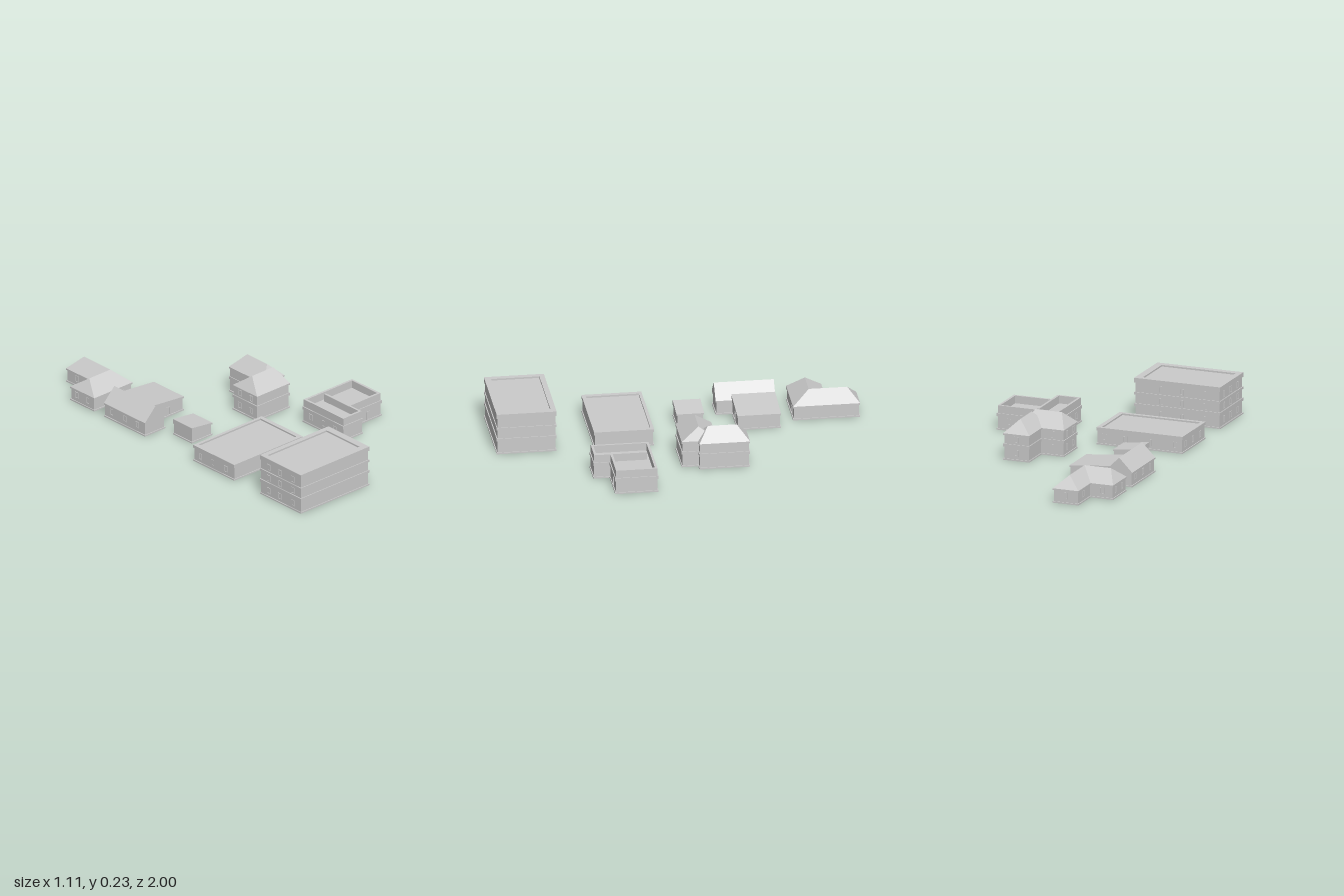
import * as THREE from 'three';
import { ConvexGeometry } from 'three/addons/geometries/ConvexGeometry.js';

const mat = new THREE.MeshStandardMaterial({ color: 0xcccccc, flatShading: true });
const OUT = 0.005; // how far bands stand out from the walls

function add(group, name, geo) {
  const m = new THREE.Mesh(geo, mat);
  m.name = name;
  group.add(m);
  return m;
}

// Plans are [x, z] corners, counter-clockwise seen from above
const rect = (x0, x1, z0, z1) => [[x0, z1], [x1, z1], [x1, z0], [x0, z0]];

// Moves every edge of a right-angled plan inwards by d
function inset(plan, d) {
  const n = plan.length;
  return plan.map(([x, z], i) => {
    const p = plan[(i + n - 1) % n], q = plan[(i + 1) % n];
    const dx = Math.sign(x - p[0]) + Math.sign(q[0] - x);
    const dz = Math.sign(z - p[1]) + Math.sign(q[1] - z);
    return [x + d * dz, z - d * dx];
  });
}

// Vertical prism over a plan, optionally hollow
function slab(group, name, plan, y0, y1, hole) {
  const pts = p => p.map(([x, z]) => new THREE.Vector2(x, -z));
  const shape = new THREE.Shape(pts(plan));
  if (hole) shape.holes.push(new THREE.Path(pts(hole)));
  const geo = new THREE.ExtrudeGeometry(shape, { depth: y1 - y0, bevelEnabled: false });
  geo.rotateX(-Math.PI / 2).translate(0, y0, 0);
  return add(group, name, geo);
}

const solid = (group, name, pts) =>
  add(group, name, new ConvexGeometry(pts.map(p => new THREE.Vector3(...p))));

// Hipped or gabled roof: eaves rectangle plus two ridge ends [x, z]
function ridgeRoof(group, [x0, x1, z0, z1], y0, y1, a, b) {
  solid(group, 'pitchedRoof', [[x0, y0, z0], [x1, y0, z0], [x1, y0, z1], [x0, y0, z1],
    [a[0], y1, a[1]], [b[0], y1, b[1]]]);
}

// Single-slope roof, high on -x and low on +x
function leanRoof(group, [x0, x1, z0, z1], y0, yLow, yHigh) {
  const pts = [];
  for (const z of [z0, z1]) pts.push([x0, y0, z], [x1, y0, z], [x0, yHigh, z], [x1, yLow, z]);
  solid(group, 'slopingRoof', pts);
}

// Walls with projecting bands
function walls(group, plan, top, bands) {
  slab(group, 'walls', inset(plan, OUT), 0, top);
  for (const [y0, y1] of bands) slab(group, 'band', plan, y0, y1);
}

// Window or door frame; side is the direction the wall faces
const turns = { front: 0, right: Math.PI / 2, back: Math.PI, left: -Math.PI / 2 };
function opening(group, name, side, x, y, z, w = 0.024, h = 0.036) {
  const box = (a, b, c, d) => [[a, b], [c, b], [c, d], [a, d]].map(p => new THREE.Vector2(...p));
  const t = 0.004;
  const shape = new THREE.Shape(box(-w / 2, 0, w / 2, h));
  shape.holes.push(new THREE.Path(box(-w / 2 + t, t, w / 2 - t, h - t)));
  const geo = new THREE.ExtrudeGeometry(shape, { depth: 0.003, bevelEnabled: false });
  const m = add(group, name, geo);
  m.position.set(x, y, z);
  m.rotation.y = turns[side];
}

function building(root, name) {
  const g = new THREE.Group();
  g.name = name;
  root.add(g);
  return g;
}

// Flat-roofed block with a low parapet and windows on its back and left-hand sides
function flatBlock(root, name, r, inner, height, parapet, bands, rows, backX, sideZ) {
  const g = building(root, name);
  const plan = rect(...r);
  walls(g, plan, parapet, bands);
  slab(g, 'parapet', plan, parapet, height, rect(...inner));
  slab(g, 'roofDeck', rect(...inner), parapet - 0.002, height - 0.009);
  for (const y of rows) {
    for (const x of backX) opening(g, 'window', 'back', x, y, r[2] + OUT);
    for (const z of sideZ) opening(g, 'window', 'left', r[0] + OUT, y, z);
  }
}

export function createModel() {
  const root = new THREE.Group();
  root.name = 'buildingGroup';

  // Three-storey block
  flatBlock(root, 'tallBlock', [-0.555, -0.055, 0.675, 1], [-0.525, -0.095, 0.704, 0.965],
    0.232, 0.207, [[0, 0.008], [0.075, 0.09], [0.14, 0.153]],
    [0.022, 0.097, 0.162], [-0.21, -0.33, -0.467], [0.74, 0.83, 0.93]);

  // Single-storey block
  flatBlock(root, 'lowBlock', [-0.555, -0.055, 0.147, 0.472], [-0.53, -0.08, 0.164, 0.45],
    0.095, 0.078, [[0, 0.008]],
    [0.025], [-0.1, -0.22, -0.36, -0.51], [0.2, 0.3, 0.4]);

  // L-shaped house with a walled roof terrace
  const terrace = building(root, 'terraceHouse');
  const tPlan = [[0.187, 0.53], [0.332, 0.53], [0.332, 0.442], [0.55, 0.442], [0.55, 0.207], [0.187, 0.207]];
  walls(terrace, tPlan, 0.085, [[0, 0.008], [0.075, 0.092]]);
  slab(terrace, 'terraceWall', inset(tPlan, OUT), 0.092, 0.135, inset(tPlan, 0.018));
  slab(terrace, 'dividingWall', rect(0.314, 0.327, 0.24, 0.445), 0.092, 0.135);
  opening(terrace, 'door', 'front', 0.454, 0.006, 0.437, 0.027, 0.05);
  for (const z of [0.27, 0.37, 0.46]) opening(terrace, 'window', 'left', 0.192, 0.03, z);
  for (const x of [0.25, 0.37, 0.48]) opening(terrace, 'window', 'back', x, 0.03, 0.212);

  // Two-storey L-shaped house with crossing hipped roofs
  const hip = building(root, 'twoStoreyHouse');
  const hPlan = [[0.01, 0.04], [0.25, 0.04], [0.25, -0.05], [0.292, -0.05],
    [0.292, -0.325], [0.14, -0.325], [0.14, -0.153], [0.01, -0.153]];
  walls(hip, hPlan, 0.145, [[0, 0.008], [0.075, 0.09], [0.138, 0.148]]);
  ridgeRoof(hip, [0.01, 0.25, -0.153, 0.04], 0.148, 0.22, [0.062, -0.056], [0.217, -0.056]);
  ridgeRoof(hip, [0.14, 0.292, -0.325, -0.05], 0.148, 0.22, [0.217, -0.262], [0.217, -0.105]);
  for (const y of [0.025, 0.098]) {
    for (const z of [-0.1, -0.01]) opening(hip, 'window', 'left', 0.015, y, z);
    opening(hip, 'window', 'back', 0.217, y, -0.32);
    opening(hip, 'window', 'back', 0.075, y, -0.148);
  }

  // Gabled house with a gently sloping side wing
  const gable = building(root, 'gabledHouse');
  const gPlan = [[-0.555, -0.235], [-0.405, -0.235], [-0.405, -0.323], [-0.19, -0.323],
    [-0.19, -0.56], [-0.555, -0.56]];
  walls(gable, gPlan, 0.076, [[0, 0.008], [0.073, 0.081]]);
  ridgeRoof(gable, [-0.555, -0.405, -0.56, -0.235], 0.081, 0.158, [-0.479, -0.56], [-0.479, -0.235]);
  leanRoof(gable, [-0.45, -0.19, -0.56, -0.323], 0.08, 0.083, 0.108);
  opening(gable, 'door', 'front', -0.3, 0.006, -0.328, 0.027, 0.05);
  for (const z of [-0.5, -0.4, -0.3]) opening(gable, 'window', 'left', -0.55, 0.028, z);
  for (const x of [-0.48, -0.36, -0.25]) opening(gable, 'window', 'back', x, 0.028, -0.555);

  // Small outbuilding
  const shed = building(root, 'outbuilding');
  const sPlan = rect(-0.425, -0.275, -0.155, -0.005);
  walls(shed, sPlan, 0.07, [[0, 0.008], [0.065, 0.073]]);
  leanRoof(shed, [-0.425, -0.275, -0.155, -0.005], 0.072, 0.074, 0.092);

  // Single-storey L-shaped house with a joined hipped roof
  const rear = building(root, 'rearHouse');
  const rPlan = [[-0.555, -0.637], [-0.275, -0.637], [-0.275, -1], [-0.425, -1],
    [-0.425, -0.828], [-0.555, -0.828]];
  walls(rear, rPlan, 0.076, [[0, 0.008], [0.07, 0.08]]);
  ridgeRoof(rear, [-0.555, -0.275, -0.828, -0.637], 0.08, 0.147, [-0.503, -0.732], [-0.35, -0.732]);
  ridgeRoof(rear, [-0.425, -0.275, -1, -0.637], 0.08, 0.147, [-0.35, -0.94], [-0.35, -0.732]);
  opening(rear, 'door', 'front', -0.35, 0.006, -0.642, 0.027, 0.05);
  for (const z of [-0.78, -0.69]) opening(rear, 'window', 'left', -0.55, 0.026, z);
  opening(rear, 'window', 'left', -0.42, 0.026, -0.92);
  opening(rear, 'window', 'back', -0.49, 0.026, -0.823);
  opening(rear, 'window', 'back', -0.35, 0.026, -0.995);

  return root;
}
